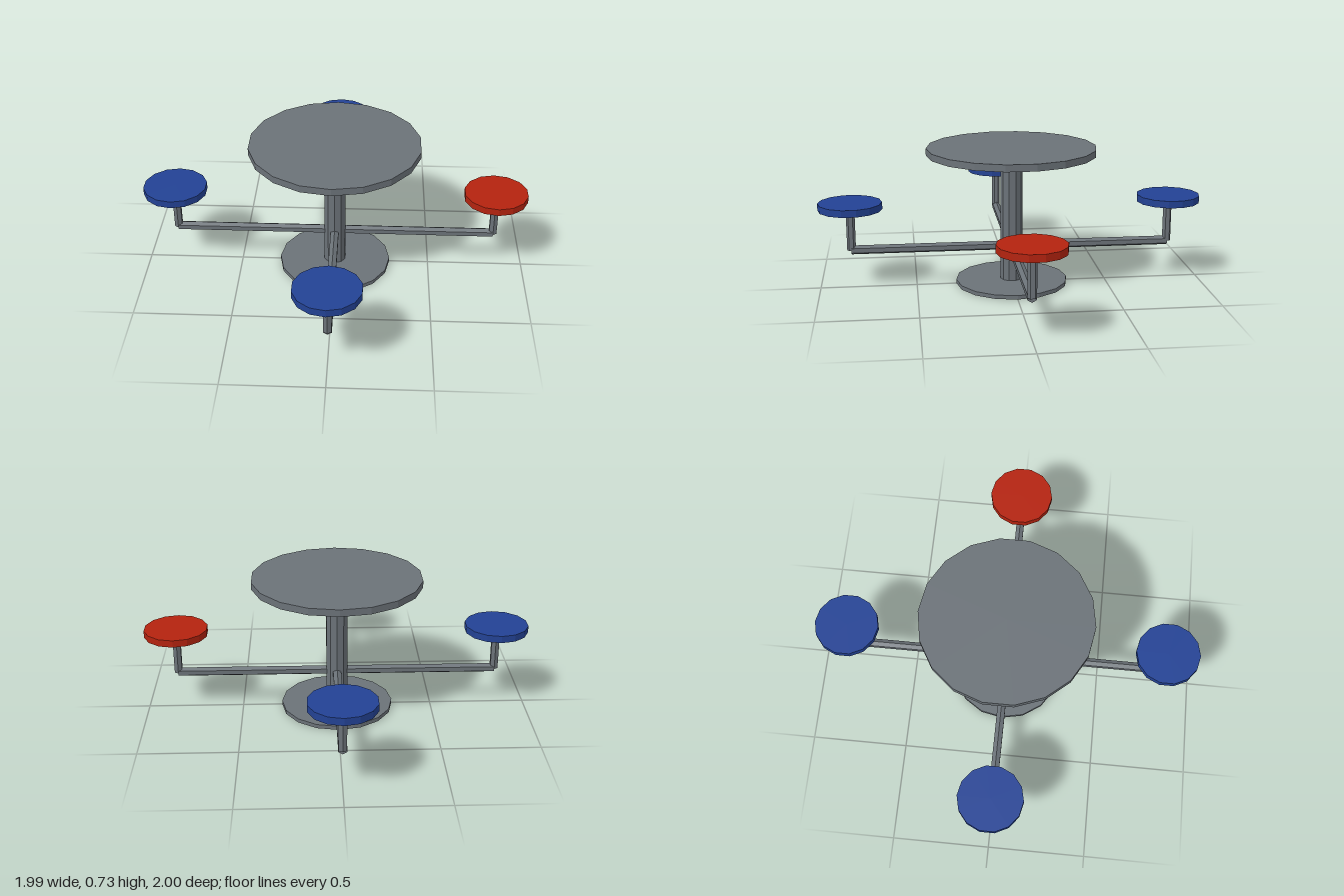
import * as THREE from 'three';

export function createModel() {
  const paint = (name, color) => {
    const m = new THREE.MeshStandardMaterial({ color, flatShading: true });
    m.name = name;
    return m;
  };
  const grey = paint('steel grey', 0x6b7278);
  const blue = paint('seat blue', 0x234294);
  const red = paint('seat red', 0xb4230f);

  const model = new THREE.Group();
  model.name = 'picnicTable';

  // Upright faceted cylinder between two heights
  const disc = (name, material, radius, sides, y0, y1, x = 0, z = 0, parent = model) => {
    const mesh = new THREE.Mesh(new THREE.CylinderGeometry(radius, radius, y1 - y0, sides), material);
    mesh.name = name;
    mesh.position.set(x, (y0 + y1) / 2, z);
    parent.add(mesh);
    return mesh;
  };

  // Pedestal and top
  disc('base', grey, 0.293, 16, 0, 0.021);
  disc('column', grey, 0.058, 10, 0.021, 0.693);
  disc('tableTop', grey, 0.44, 18, 0.692, 0.728);

  // Four arms, each with a post and a round seat
  const reach = 0.834, armY = 0.202, tube = 0.024;
  const places = [['front', 0, blue], ['left', 1, red], ['back', 2, blue], ['right', 3, blue]];
  for (const [side, turn, color] of places) {
    const angle = turn * Math.PI / 2;
    const x = Math.sin(angle) * reach, z = Math.cos(angle) * reach;
    const stool = new THREE.Group();
    stool.name = side + 'Stool';
    model.add(stool);

    const armShape = new THREE.CylinderGeometry(tube, tube, reach, 6);
    armShape.rotateX(Math.PI / 2).rotateY(angle);
    const arm = new THREE.Mesh(armShape, grey);
    arm.name = side + 'Arm';
    arm.position.set(x / 2, armY, z / 2);
    stool.add(arm);

    disc(side + 'Post', grey, 0.0225, 6, armY, 0.42, x, z, stool);
    disc(side + 'Seat', color, 0.165, 14, 0.418, 0.455, x, z, stool);
  }
  return model;
}
